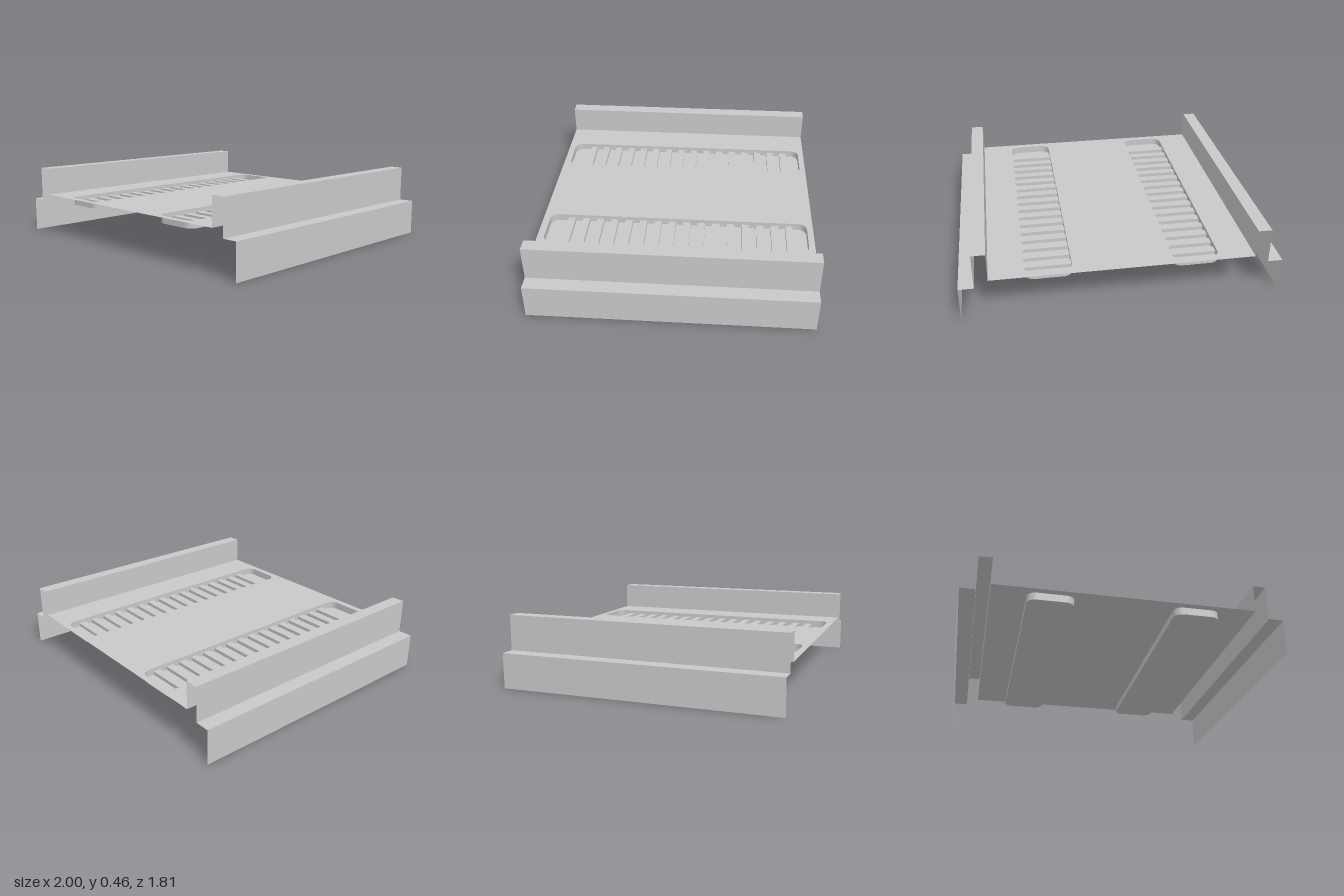
import * as THREE from 'three';

const steel = new THREE.MeshStandardMaterial({ color: 0xc8c8c8, side: THREE.DoubleSide });
steel.name = 'light grey steel';

const HALF_Z = 0.905, FLOOR_Y = 0.275, TRAY_Y = 0.227;
const TRAY = { x0: 0.312, x1: 0.602, z0: -0.865, z1: 0.86, r: 0.055 };

function add(parent, geometry, name) {
  const mesh = new THREE.Mesh(geometry, steel);
  mesh.name = name;
  parent.add(mesh);
  return mesh;
}

// Ribbon of flat quads between two matching rows of points
function ribbon(rowA, rowB) {
  const pos = [];
  for (let i = 0; i + 1 < rowA.length; i++) {
    const [a, b, c, d] = [rowA[i], rowA[i + 1], rowB[i + 1], rowB[i]];
    for (const p of [a, b, c, a, c, d]) pos.push(p.x, p.y, p.z);
  }
  const g = new THREE.BufferGeometry();
  g.setAttribute('position', new THREE.Float32BufferAttribute(pos, 3));
  g.computeVertexNormals();
  return g;
}

// Rounded rectangle in plan; shape y becomes -z once laid flat
function trayOutline(path, side) {
  const { r } = TRAY;
  const x0 = side > 0 ? TRAY.x0 : -TRAY.x1, x1 = side > 0 ? TRAY.x1 : -TRAY.x0;
  const y0 = -TRAY.z1, y1 = -TRAY.z0;
  path.moveTo(x0 + r, y0);
  path.lineTo(x1 - r, y0);
  path.absarc(x1 - r, y0 + r, r, -Math.PI / 2, 0);
  path.lineTo(x1, y1 - r);
  path.absarc(x1 - r, y1 - r, r, 0, Math.PI / 2);
  path.lineTo(x0 + r, y1);
  path.absarc(x0 + r, y1 - r, r, Math.PI / 2, Math.PI);
  path.lineTo(x0, y0 + r);
  path.absarc(x0 + r, y0 + r, r, Math.PI, Math.PI * 1.5);
  return path;
}

const flat = (shape, y) => new THREE.ShapeGeometry(shape, 8).rotateX(-Math.PI / 2).translate(0, y, 0);

export function createModel() {
  const model = new THREE.Group();
  model.name = 'channelPanel';

  // Floor sheet with two tray openings
  const floor = new THREE.Shape([[-0.82, -HALF_Z], [0.82, -HALF_Z], [0.82, HALF_Z], [-0.82, HALF_Z]]
    .map(([x, y]) => new THREE.Vector2(x, y)));
  for (const s of [-1, 1]) floor.holes.push(trayOutline(new THREE.Path(), s));
  add(model, flat(floor, FLOOR_Y), 'floorSheet');

  for (const s of [-1, 1]) {
    const side = s > 0 ? 'left' : 'right';

    // Folded side rail: inner wall, top, outer wall, ledge, skirt
    const profile = [[0.82, FLOOR_Y], [0.82, 0.457], [0.905, 0.457], [0.905, 0.228], [1, 0.228], [1, 0]];
    const row = (z) => profile.map(([x, y]) => new THREE.Vector3(s * x, y, z));
    add(model, ribbon(row(s * HALF_Z), row(-s * HALF_Z)), side + 'Rail');

    // Recessed tray: bottom and surrounding wall
    const tray = new THREE.Group();
    tray.name = side + 'Tray';
    model.add(tray);
    const shape = trayOutline(new THREE.Shape(), s);
    add(tray, flat(shape, TRAY_Y), 'trayBottom');
    const outline = shape.getPoints(8);
    outline.push(outline[0]);
    const ring = (y) => outline.map((p) => new THREE.Vector3(p.x, y, -p.y));
    add(tray, ribbon(ring(TRAY_Y), ring(FLOOR_Y)), 'trayWall');

    // Cross ribs on the tray bottom
    const ribTop = 0.251, ribDepth = 0.049;
    const rib = new THREE.BoxGeometry(TRAY.x1 - TRAY.x0, ribTop - TRAY_Y - 0.001, ribDepth);
    for (let i = 0; i < 16; i++) {
      add(tray, rib, 'rib').position.set(
        s * (TRAY.x0 + TRAY.x1) / 2, (ribTop + TRAY_Y + 0.001) / 2, -0.775 + ribDepth * (2 * i + 0.5));
    }
  }
  return model;
}
